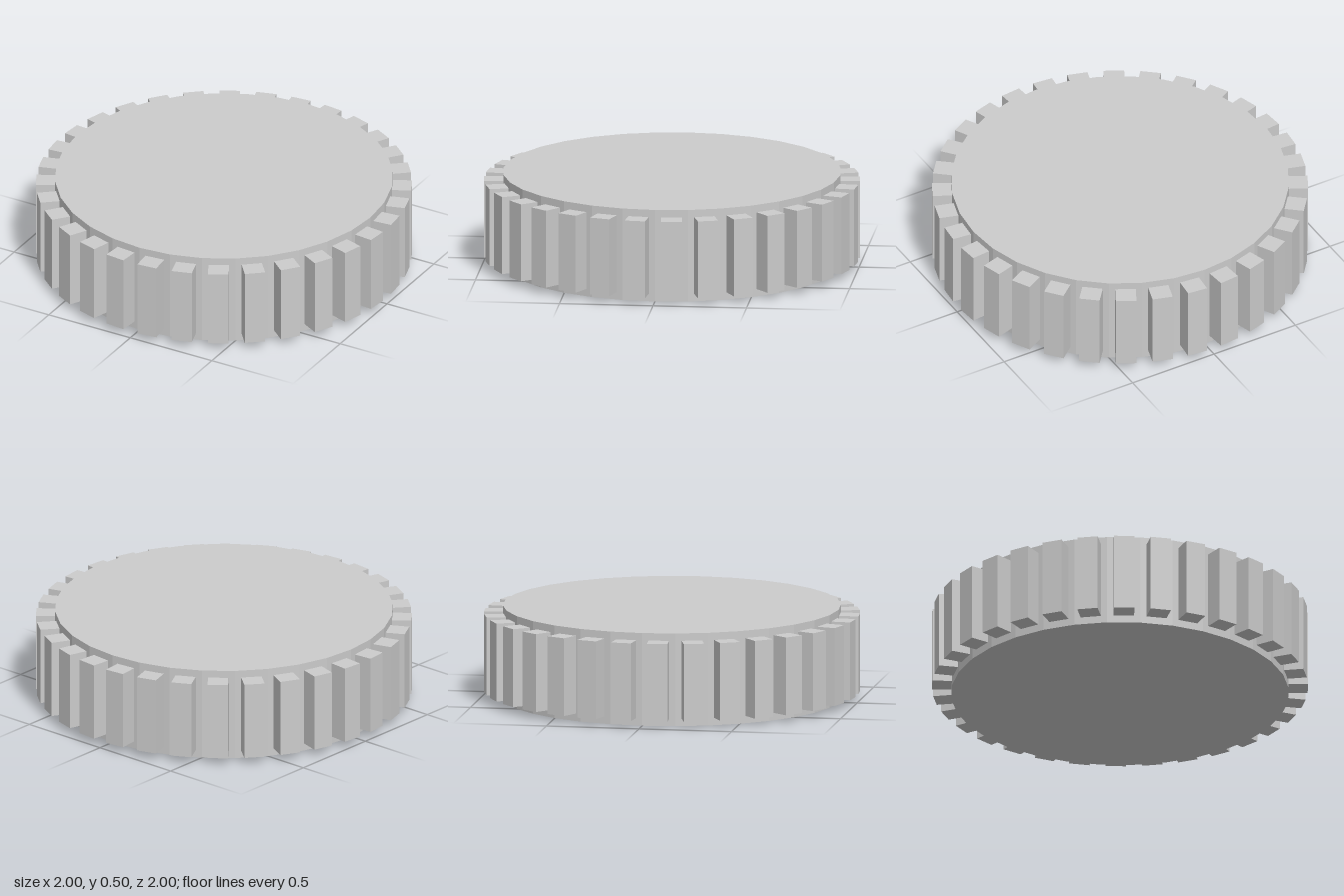
import * as THREE from 'three';

const TEETH = 32;
const BODY_RADIUS = 0.9, BODY_HEIGHT = 0.5;
const TOOTH_WIDTH = 0.11, TOOTH_HEIGHT = 0.42;
const TOOTH_INNER = 0.89, TOOTH_OUTER = 0.9994;

export function createModel() {
  const model = new THREE.Group();
  model.name = 'gearWheel';
  const material = new THREE.MeshStandardMaterial({ color: 0xcccccc, flatShading: true });

  // Solid faceted disc, one facet per tooth
  const body = new THREE.Mesh(
    new THREE.CylinderGeometry(BODY_RADIUS, BODY_RADIUS, BODY_HEIGHT, TEETH), material);
  body.name = 'disc';
  body.position.y = BODY_HEIGHT / 2;
  model.add(body);

  // Ring of block teeth, each centred on a facet of the disc
  const teeth = new THREE.Group();
  teeth.name = 'teeth';
  const toothGeometry = new THREE.BoxGeometry(TOOTH_WIDTH, TOOTH_HEIGHT, TOOTH_OUTER - TOOTH_INNER);
  toothGeometry.translate(0, BODY_HEIGHT / 2, (TOOTH_OUTER + TOOTH_INNER) / 2);
  for (let i = 0; i < TEETH; i++) {
    const tooth = new THREE.Mesh(toothGeometry, material);
    tooth.name = `tooth${i + 1}`;
    tooth.rotation.y = ((i + 0.5) / TEETH) * Math.PI * 2;
    teeth.add(tooth);
  }
  model.add(teeth);
  return model;
}
